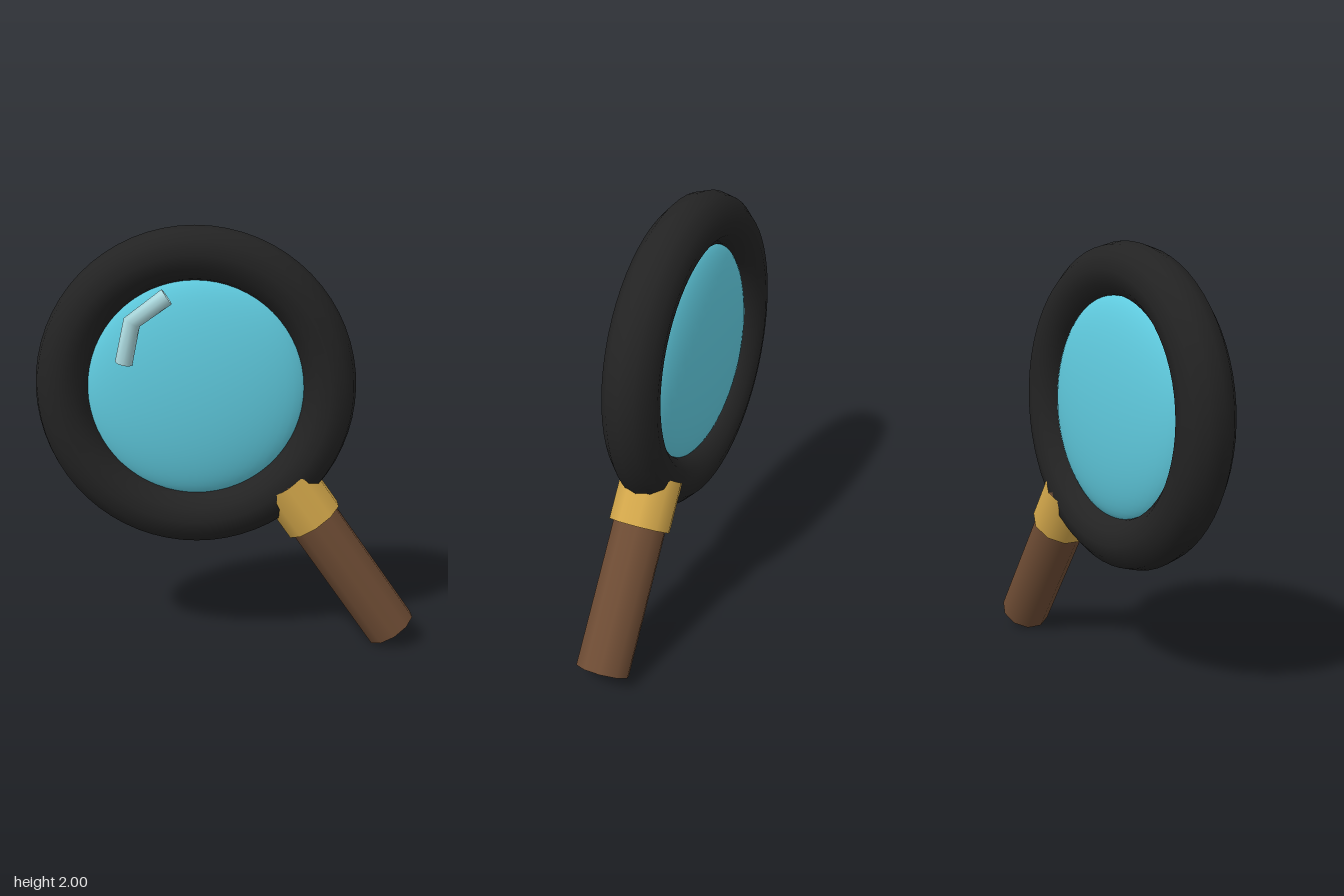
import * as THREE from 'three';

const material = (name, color, side = THREE.FrontSide) => {
  const m = new THREE.MeshStandardMaterial({ color, side });
  m.name = name;
  return m;
};

export function createModel() {
  const black = material('black rim', 0x232323);
  const blue = material('blue glass', 0x60cce0);
  const brown = material('brown wood', 0x6e4c34, THREE.DoubleSide);
  const gold = material('gold metal', 0xd4a84b, THREE.DoubleSide);
  const pale = material('pale highlight', 0xaddbe0, THREE.DoubleSide);

  const model = new THREE.Group();
  model.name = 'magnifyingGlass';
  const add = (name, geometry, mat) => {
    const mesh = new THREE.Mesh(geometry, mat);
    mesh.name = name;
    model.add(mesh);
    return mesh;
  };

  const cx = -0.155, cy = 1.26, cz = -0.018;

  // Round rim
  add('rim', new THREE.TorusGeometry(0.617, 0.125, 12, 64), black).position.set(cx, cy, cz);

  // Bulging lens, set slightly towards the back
  const lens = add('lens', new THREE.SphereGeometry(1, 48, 32), blue);
  lens.scale.set(0.52, 0.52, 0.127);
  lens.position.set(cx, cy, -0.03);

  // Open tubes along the slanted handle axis, measured from the rim's core
  const start = new THREE.Vector3(0.269, 0.812, cz);
  const axis = new THREE.Vector3(0.572, -0.82, 0).normalize();
  const sleeve = (length, radius) => new THREE.TubeGeometry(
    new THREE.LineCurve3(start, start.clone().addScaledVector(axis, length)), 1, radius, 10);
  add('handle', sleeve(0.908, 0.125), brown);
  add('collar', sleeve(0.234, 0.145), gold);

  // Bent highlight lying on the front of the lens
  const bend = new THREE.CatmullRomCurve3([
    new THREE.Vector3(-0.477, 1.394, 0.095),
    new THREE.Vector3(-0.428, 1.594, 0.117),
    new THREE.Vector3(-0.278, 1.696, 0.11),
  ]);
  add('highlight', new THREE.TubeGeometry(bend, 2, 0.04, 8), pale);

  return model;
}
